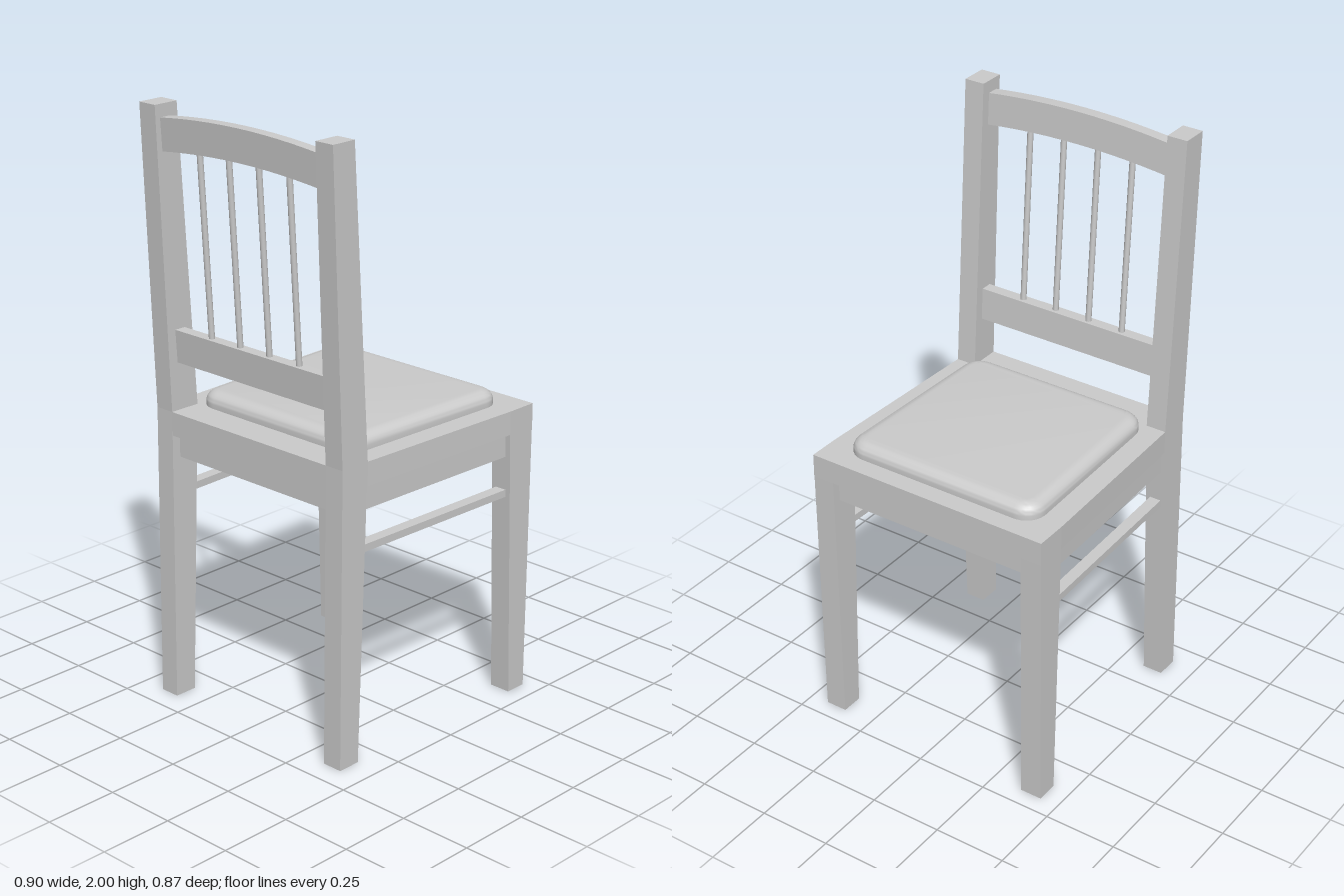
import * as THREE from 'three';
import { toCreasedNormals } from 'three/addons/utils/BufferGeometryUtils.js';

const material = new THREE.MeshStandardMaterial({ color: 0xcccccc });

const outline = (points) => new THREE.Shape(points.map(([a, b]) => new THREE.Vector2(a, b)));
const solid = (shape, depth) => new THREE.ExtrudeGeometry(shape, { depth, bevelEnabled: false });

// Board drawn in side view (x, y), spanning z0 to z1
const sideBoard = (points, z0, z1) => solid(outline(points), z1 - z0).translate(0, 0, z0);

// Board drawn in plan (x, z), spanning y0 to y1
const planBoard = (points, y0, y1) => solid(outline(points), y1 - y0).rotateX(Math.PI / 2).translate(0, y1, 0);

// Centre line of the leaning backrest
const leanX = (y) => -0.365 - 0.06 * (y - 1.215);

// Rail drawn in (z, y), sheared to follow the lean of the posts
function backRail(shape, thickness) {
  const geometry = solid(shape, thickness).rotateY(Math.PI / 2).translate(-thickness / 2, 0, 0);
  const p = geometry.attributes.position;
  for (let i = 0; i < p.count; i++) p.setX(i, p.getX(i) + leanX(p.getY(i)));
  geometry.computeVertexNormals();
  return geometry;
}

// Closed outline with rounded corners
function roundedOutline(points, r) {
  const shape = new THREE.Shape();
  const v = points.map(([a, b]) => new THREE.Vector2(a, b));
  v.forEach((corner, i) => {
    const toward = (other) => corner.clone().add(other.clone().sub(corner).setLength(r));
    const start = toward(v[(i + v.length - 1) % v.length]);
    const end = toward(v[(i + 1) % v.length]);
    if (i === 0) shape.moveTo(start.x, start.y);
    else shape.lineTo(start.x, start.y);
    shape.quadraticCurveTo(corner.x, corner.y, end.x, end.y);
  });
  shape.closePath();
  return shape;
}

export function createModel() {
  const chair = new THREE.Group();
  chair.name = 'chair';
  const add = (name, geometry) => {
    const mesh = new THREE.Mesh(geometry, material);
    mesh.name = name;
    chair.add(mesh);
    return mesh;
  };

  // Seat frame, slightly wider at the front
  add('seatFrame', planBoard([
    [-0.41, -0.41], [-0.3, -0.41], [0.34, -0.435], [0.45, -0.435],
    [0.45, 0.435], [0.34, 0.435], [-0.3, 0.41], [-0.41, 0.41],
  ], 0.92, 1));

  // Padded seat with a soft upper edge; its lower edge is sunk into the frame
  const cushion = new THREE.ExtrudeGeometry(
    roundedOutline([[-0.255, -0.295], [0.34, -0.315], [0.34, 0.315], [-0.255, 0.295]], 0.03),
    { depth: 0.03, bevelThickness: 0.035, bevelSize: 0.045, bevelSegments: 8, curveSegments: 8 },
  ).rotateX(Math.PI / 2).translate(0, 1.015, 0);
  add('cushion', toCreasedNormals(cushion, 0.7));

  for (const side of [1, -1]) {
    const label = side > 0 ? 'Left' : 'Right';
    const span = (a, b) => (side > 0 ? [a, b] : [-b, -a]);

    // Rear leg and back post in one piece
    add('backPost' + label, sideBoard([
      [-0.42, 0], [-0.34, 0], [-0.3, 1], [-0.36, 2], [-0.45, 2], [-0.41, 1],
    ], ...span(0.34, 0.41)));

    // Tapered front leg
    add('frontLeg' + label, sideBoard([
      [0.365, 0], [0.44, 0], [0.449, 0.92], [0.34, 0.92],
    ], ...span(0.36, 0.435)));

    // Side apron and thin stretcher, splayed with the seat
    const rail = [[-0.36, 0.355], [0.4, 0.378], [0.4, 0.418], [-0.36, 0.395]].map(([x, z]) => [x, z * side]);
    add('sideApron' + label, planBoard(rail, 0.84, 0.92));
    add('sideStretcher' + label, planBoard(rail, 0.7, 0.725));
  }

  // Front and rear aprons
  for (const [name, x, halfWidth] of [['frontApron', 0.4, 0.38], ['rearApron', -0.36, 0.36]]) {
    add(name, new THREE.BoxGeometry(0.04, 0.08, halfWidth * 2).translate(x, 0.88, 0));
  }

  // Lower back rail
  add('lowerBackRail', backRail(outline([[-0.35, 1.16], [0.35, 1.16], [0.35, 1.27], [-0.35, 1.27]]), 0.04));

  // Arched top rail
  const arch = [];
  const steps = 12;
  for (let i = 0; i <= steps; i++) {
    const z = -0.35 + (0.7 * i) / steps;
    arch.push([z, 1.85 + 0.022 * (1 - (z / 0.35) ** 2)]);
  }
  const archTop = arch.map(([z, y]) => [z, y + 0.107]).reverse();
  add('topRail', backRail(outline([...arch, ...archTop]), 0.04));

  // Leaning spindles
  const y0 = 1.25, y1 = 1.89;
  const dx = leanX(y1) - leanX(y0);
  for (let i = 0; i < 4; i++) {
    const spindle = add('spindle' + (i + 1), new THREE.CylinderGeometry(0.01, 0.01, Math.hypot(dx, y1 - y0), 12));
    spindle.position.set((leanX(y0) + leanX(y1)) / 2, (y0 + y1) / 2, -0.193 + 0.1275 * i);
    spindle.rotation.z = -Math.atan2(dx, y1 - y0);
  }

  return chair;
}
